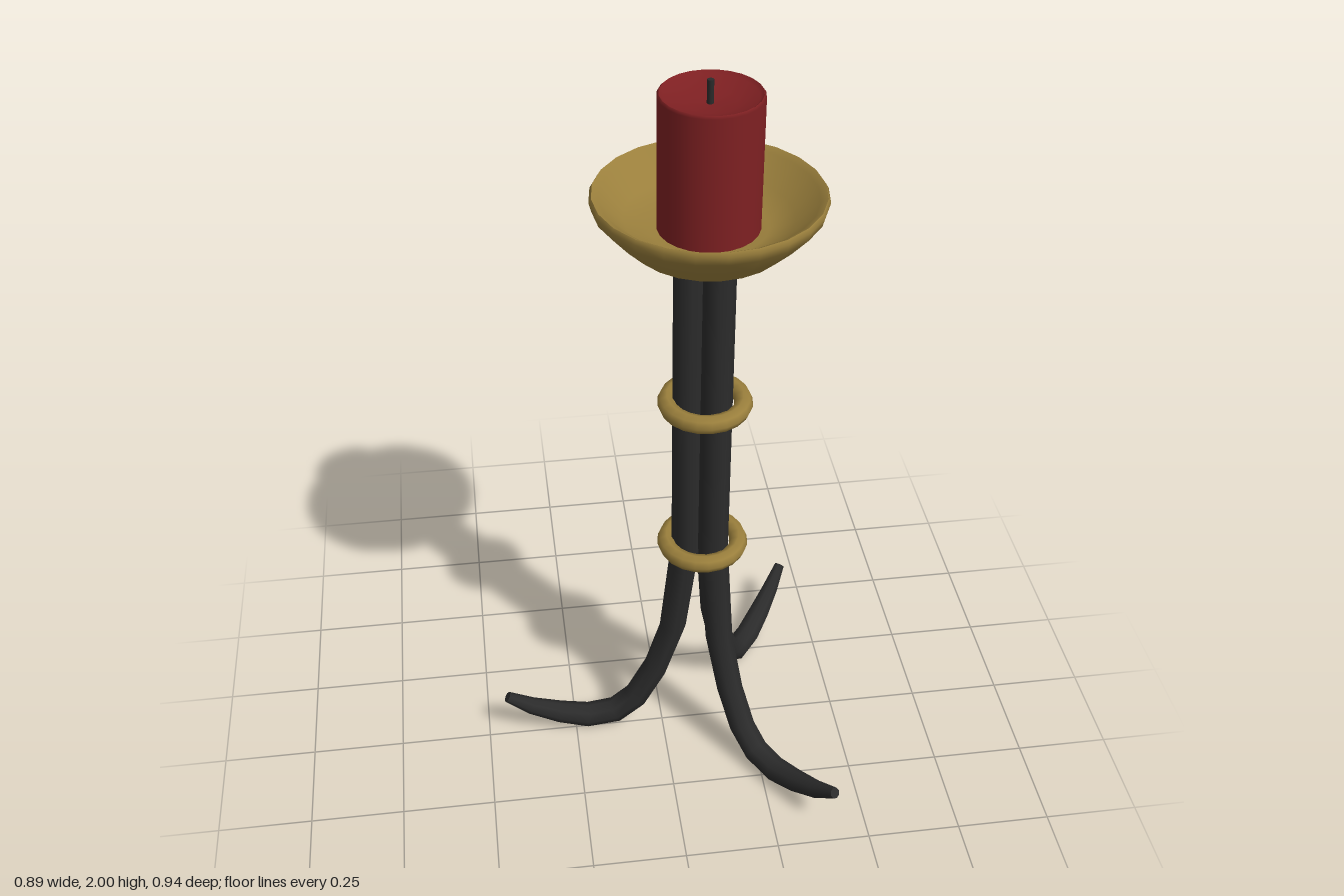
import * as THREE from 'three';

const IRON = new THREE.MeshStandardMaterial({ color: 0x2b2b2b });
const BRASS = new THREE.MeshStandardMaterial({ color: 0x9a7f3c });
const WAX = new THREE.MeshStandardMaterial({ color: 0x7e2022 });

// Tapered rod swept along a path in the xy plane; each point is [x, y, radius]
function taperedRod(path, sides = 8) {
  const pos = [], idx = [];
  path.forEach(([x, y, r], i) => {
    const a = path[Math.max(i - 1, 0)], b = path[Math.min(i + 1, path.length - 1)];
    const len = Math.hypot(b[0] - a[0], b[1] - a[1]);
    const nx = -(b[1] - a[1]) / len, ny = (b[0] - a[0]) / len;
    for (let j = 0; j < sides; j++) {
      const t = (j / sides) * Math.PI * 2;
      pos.push(x + nx * r * Math.cos(t), y + ny * r * Math.cos(t), r * Math.sin(t));
    }
  });
  for (let i = 0; i < path.length - 1; i++) {
    for (let j = 0; j < sides; j++) {
      const k = (j + 1) % sides;
      const a = i * sides + j, b = i * sides + k;
      idx.push(a, b, a + sides, b, b + sides, a + sides);
    }
  }
  // Flat end cap on its own vertices, for a crisp tip
  const last = (path.length - 1) * sides, cap = pos.length / 3;
  pos.push(...pos.slice(last * 3, (last + sides) * 3));
  for (let j = 1; j < sides - 1; j++) idx.push(cap, cap + j, cap + j + 1);
  const g = new THREE.BufferGeometry();
  g.setAttribute('position', new THREE.Float32BufferAttribute(pos, 3));
  g.setIndex(idx);
  g.computeVertexNormals();
  return g;
}

// Lathe from profile pieces, split where the edge should stay sharp
function lathe(name, pieces, segments, material) {
  const group = new THREE.Group();
  group.name = name;
  for (const piece of pieces) {
    const pts = piece.map(([r, y]) => new THREE.Vector2(r, y));
    const mesh = new THREE.Mesh(new THREE.LatheGeometry(pts, segments), material);
    mesh.name = name + 'Surface';
    group.add(mesh);
  }
  return group;
}

export function createModel() {
  const model = new THREE.Group();
  model.name = 'candlestick';
  const stand = new THREE.Group();
  stand.name = 'stand';
  stand.position.set(0.11, 0, -0.011);
  model.add(stand);

  // Three rods bundled into a stem, then splayed into upturned feet
  const legGeometry = taperedRod([
    [0.043, 1.61, 0.04], [0.043, 0.68, 0.04], [0.078, 0.37, 0.037],
    [0.128, 0.21, 0.036], [0.185, 0.1, 0.036], [0.245, 0.049, 0.036],
    [0.325, 0.039, 0.035], [0.405, 0.062, 0.031], [0.485, 0.097, 0.024],
    [0.552, 0.142, 0.015],
  ]);
  for (const degrees of [180, -54.5, 57.5]) {
    const leg = new THREE.Mesh(legGeometry, IRON);
    leg.name = 'leg';
    leg.rotation.y = -THREE.MathUtils.degToRad(degrees);
    stand.add(leg);
  }

  // Brass collars
  const collarGeometry = new THREE.TorusGeometry(0.097, 0.024, 8, 20).rotateX(Math.PI / 2);
  for (const y of [0.673, 1.131, 1.576]) {
    const collar = new THREE.Mesh(collarGeometry, BRASS);
    collar.name = 'collar';
    collar.position.y = y;
    stand.add(collar);
  }

  // Drip dish: underside, outer wall, rim and hollow
  stand.add(lathe('dish', [
    [[0, 1.6], [0.187, 1.6]],
    [[0.187, 1.6], [0.23, 1.643], [0.272, 1.692], [0.278, 1.715], [0.272, 1.725]],
    [[0.272, 1.725], [0.255, 1.715], [0.2, 1.662], [0.14, 1.636], [0, 1.63]],
  ], 24, BRASS));

  // Candle with a slightly sunken top
  stand.add(lathe('candle', [
    [[0.122, 1.63], [0.122, 1.964], [0.117, 1.97]],
    [[0.117, 1.97], [0.108, 1.962], [0.06, 1.948], [0, 1.943]],
  ], 24, WAX));

  const wick = new THREE.Mesh(new THREE.CylinderGeometry(0.008, 0.008, 0.07, 8), IRON);
  wick.name = 'wick';
  wick.position.set(-0.002, 1.965, -0.002);
  stand.add(wick);

  return model;
}
